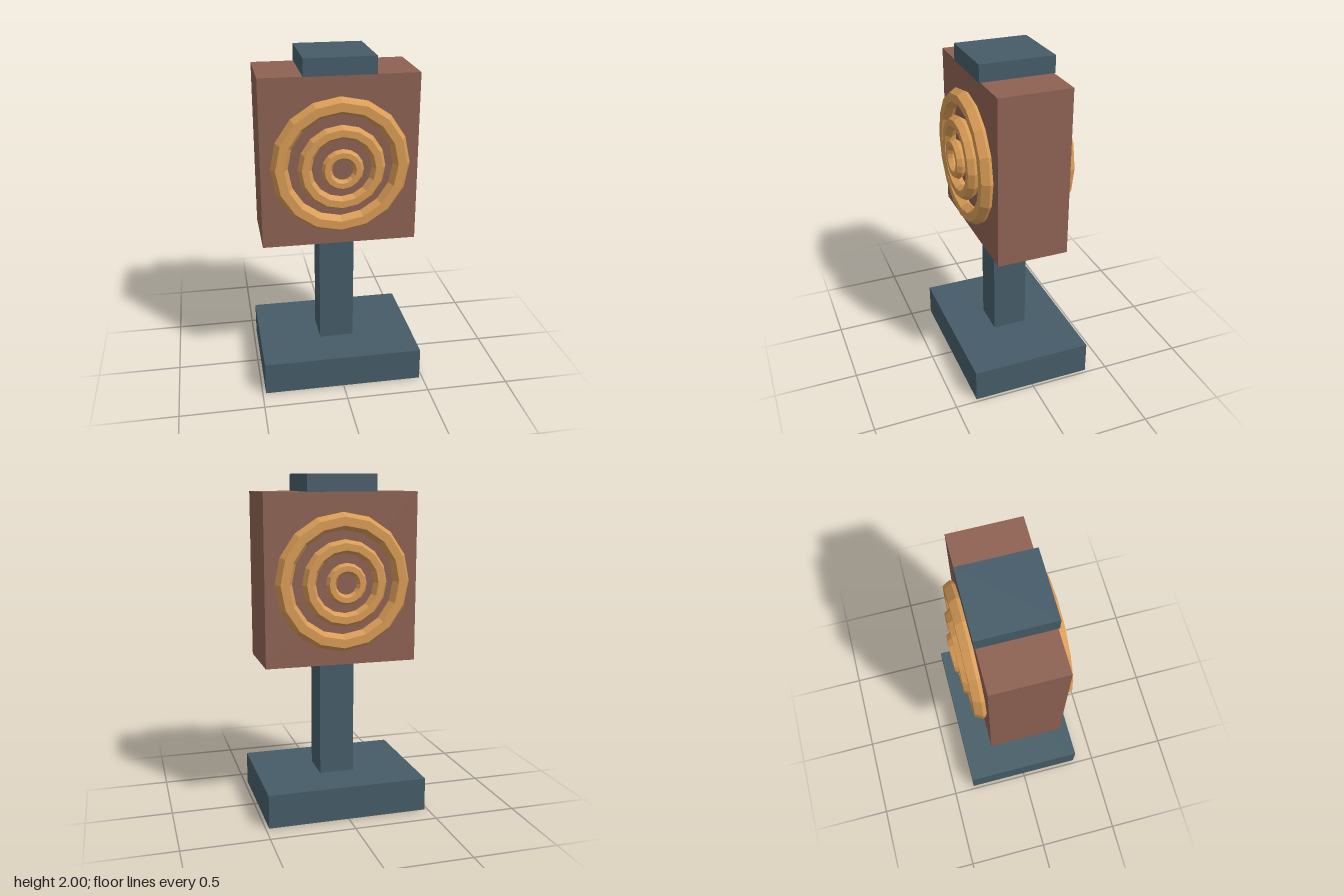
import * as THREE from 'three';

export function createModel() {
  const model = new THREE.Group();
  model.name = 'signalPost';

  const material = (name, color) => {
    const m = new THREE.MeshStandardMaterial({ color, flatShading: true });
    m.name = name;
    return m;
  };
  const slate = material('slate', 0x455c68);
  const brown = material('brown', 0x8d6152);
  const amber = material('amber', 0xd89b55);

  // Box standing between two heights, centred on the vertical axis
  const addBox = (name, mat, width, depth, bottom, top) => {
    const mesh = new THREE.Mesh(new THREE.BoxGeometry(width, top - bottom, depth), mat);
    mesh.name = name;
    mesh.position.y = (bottom + top) / 2;
    model.add(mesh);
  };
  addBox('base', slate, 0.96, 0.732, 0, 0.2);
  addBox('post', slate, 0.21, 0.21, 0.2, 0.905);
  addBox('housing', brown, 0.906, 0.424, 0.905, 1.9);
  addBox('cap', slate, 0.41, 0.44, 1.9, 2);

  // Stepped concentric rings on both faces: [radius, tube, distance from centre]
  const rings = [[0.35, 0.05, 0.233], [0.21, 0.04, 0.267], [0.09, 0.03, 0.296]];
  for (const side of ['front', 'back']) {
    const target = new THREE.Group();
    target.name = side + 'Rings';
    target.position.y = 1.39;
    if (side === 'back') target.rotation.y = Math.PI;
    rings.forEach(([radius, tube, z], i) => {
      const ring = new THREE.Mesh(new THREE.TorusGeometry(radius, tube, 6, 16), amber);
      ring.name = side + ['OuterRing', 'MiddleRing', 'InnerRing'][i];
      ring.position.z = z;
      target.add(ring);
    });
    model.add(target);
  }
  return model;
}
